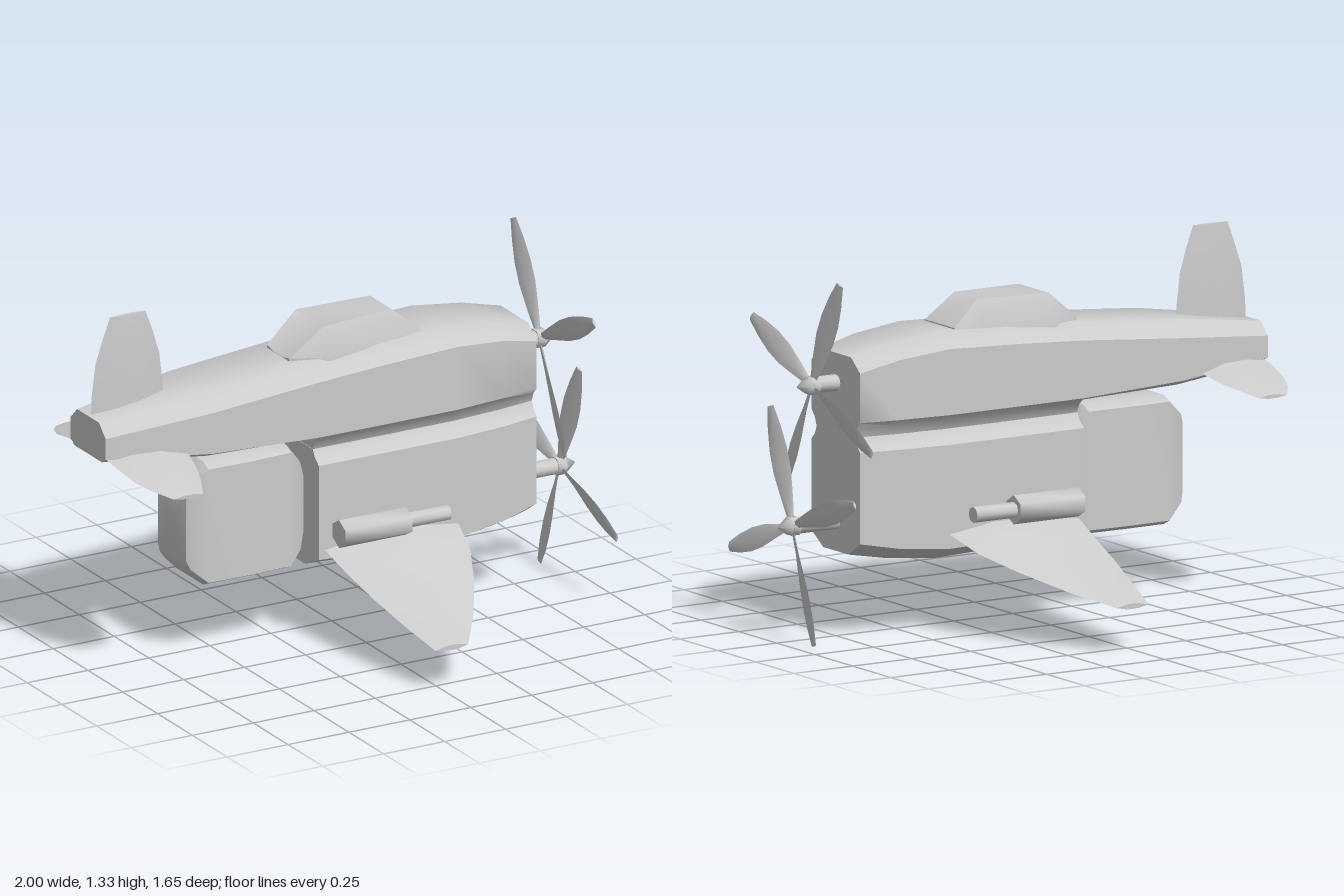
import * as THREE from 'three';
import { toCreasedNormals } from 'three/addons/utils/BufferGeometryUtils.js';

const material = new THREE.MeshStandardMaterial({ color: 0xcccccc });
const V = (x, y, z) => new THREE.Vector3(x, y, z);

function add(parent, name, geometry) {
  const mesh = new THREE.Mesh(geometry, material);
  mesh.name = name;
  parent.add(mesh);
  return mesh;
}

// Skin a list of closed rings and cap both ends; triangles always face outward.
function loft(rings, crease = 0.72) {
  const n = rings[0].length, tris = [];
  for (let i = 0; i < rings.length - 1; i++) {
    for (let j = 0; j < n; j++) {
      const k = (j + 1) % n, a = rings[i], b = rings[i + 1];
      tris.push([a[j], a[k], b[k]], [a[j], b[k], b[j]]);
    }
  }
  const cap = (ring, flip) => {
    const c = ring.reduce((s, p) => s.add(p), V(0, 0, 0)).divideScalar(n);
    ring.forEach((p, j) => {
      const q = ring[(j + 1) % n];
      tris.push(flip ? [c, q, p] : [c, p, q]);
    });
  };
  cap(rings[0], true);
  cap(rings[rings.length - 1], false);
  const centre = rings.flat().reduce((s, p) => s.add(p), V(0, 0, 0)).divideScalar(n * rings.length);
  let volume = 0;
  for (const [a, b, c] of tris) {
    volume += a.clone().sub(centre).dot(b.clone().sub(centre).cross(c.clone().sub(centre)));
  }
  if (volume < 0) tris.forEach((t) => t.reverse());
  const geo = new THREE.BufferGeometry().setFromPoints(tris.flat());
  geo.computeVertexNormals();
  return toCreasedNormals(geo, crease);
}

// Ring across the body at x from its left half, given as [y, z] from top to bottom.
function section(x, half) {
  const left = half.map(([y, z]) => V(x, y, z));
  const right = half.map(([y, z]) => V(x, y, -z)).reverse();
  return [...left, ...right];
}

// Lens-shaped lifting surface; stations are [span, back x, front x, height, thickness].
function foil(stations, place) {
  const profile = [[0, 0], [0.3, 0.42], [0.65, 0.5], [1, 0], [0.65, -0.5], [0.3, -0.42]];
  return loft(stations.map(([s, x0, x1, h, t]) =>
    profile.map(([u, v]) => place(s, x0 + (x1 - x0) * u, h + v * t))));
}

// Round or tapered bar along x
function rod(r0, r1, x0, x1, sides) {
  const geo = new THREE.CylinderGeometry(r1, r0, x1 - x0, sides);
  geo.rotateZ(-Math.PI / 2).translate((x0 + x1) / 2, 0, 0);
  return toCreasedNormals(geo, 1.1);
}

// Four-bladed propeller on a shaft starting at the nose
function propeller(name, y, hubX, turn) {
  const group = new THREE.Group();
  group.name = name;
  group.position.y = y;
  add(group, 'shaft', rod(0.03, 0.03, 0.72, hubX - 0.02, 10));
  add(group, 'hub', rod(0.036, 0.036, hubX - 0.02, hubX + 0.015, 6));
  add(group, 'spinner', rod(0.036, 0.004, hubX + 0.015, hubX + 0.06, 6));

  // Stations: radius, half chord, pitch
  const stations = [[0.02, 0.012, 0.5], [0.1, 0.026, 0.4], [0.2, 0.042, 0.3],
    [0.28, 0.044, 0.24], [0.36, 0.035, 0.18], [0.437, 0.018, 0.12]];
  const blade = loft(stations.map(([r, c, p]) =>
    [[1, 0], [0, 1], [-1, 0], [0, -1]].map(([u, v]) =>
      V(u * c * Math.sin(p) + v * 0.006, r, u * c * Math.cos(p)))));
  for (let i = 0; i < 4; i++) {
    const mesh = add(group, 'blade', blade);
    mesh.position.x = hubX;
    mesh.rotation.x = turn + i * Math.PI / 2;
  }
  return group;
}

export function createModel() {
  const model = new THREE.Group();
  model.name = 'airplane';

  // Upper fuselage: x, half width, roof, shoulder, side bottom, belly
  const upper = [
    [-1, 0.127, 0.972, 0.925, 0.845, 0.828], [-0.6, 0.193, 1.028, 0.97, 0.815, 0.795],
    [-0.17, 0.206, 1.063, 1.01, 0.8, 0.785], [-0.168, 0.206, 1.063, 1.01, 0.8, 0.742],
    [0.1, 0.208, 1.077, 1.027, 0.8, 0.742], [0.4, 0.208, 1.086, 1.04, 0.8, 0.742],
    [0.6, 0.188, 1.064, 1.018, 0.8, 0.742], [0.75, 0.16, 1.03, 0.98, 0.8, 0.742],
  ];
  add(model, 'upperFuselage', loft(upper.map(([x, w, top, shoulder, side, belly]) =>
    section(x, [[top, w * 0.62], [shoulder, w], [side, w],
      [side + (belly - side) * 0.45, w * 0.86], [belly, w * 0.79]]))));

  // Lower fuselage with the groove below the upper one: x, half width, side bottom, keel
  const lower = [
    [-0.17, 0.206, 0.333, 0.287], [0.1, 0.208, 0.32, 0.275], [0.4, 0.208, 0.314, 0.264],
    [0.6, 0.188, 0.332, 0.284], [0.75, 0.16, 0.36, 0.31],
  ];
  add(model, 'lowerFuselage', loft(lower.map(([x, w, side, keel]) =>
    section(x, [[0.742, w * 0.79], [0.715, w * 0.86], [0.692, w], [side, w], [keel, w * 0.52]]))));

  // Rounded rear pod: x, half width, half height
  const pod = [[-0.655, 0.1, 0.14], [-0.643, 0.11, 0.175], [-0.58, 0.132, 0.235],
    [-0.4, 0.136, 0.235], [-0.24, 0.13, 0.235], [-0.195, 0.118, 0.18], [-0.172, 0.1, 0.11]];
  add(model, 'rearPod', loft(pod.map(([x, w, h]) =>
    section(x, [[0.515 + h, w * 0.7], [0.515 + h * 0.92, w],
      [0.515 - h * 0.92, w], [0.515 - h, w * 0.7]]))));

  // Canopy: x, base height, base half width, roof height, roof half width
  const canopy = [[-0.22, 1.03, 0.08, 1.06, 0.07], [-0.09, 1.03, 0.145, 1.174, 0.1],
    [0.2, 1.03, 0.127, 1.18, 0.075], [0.31, 1.04, 0.1, 1.088, 0.098]];
  add(model, 'canopy', loft(canopy.map(([x, y0, w0, y1, w1]) =>
    section(x, [[y1, w1], [y0 + 0.04, w0], [y0, w0]]))));

  // Tail fin
  const fin = [[0.93, -0.99, -0.685, 0, 0.05], [1.04, -0.985, -0.694, 0, 0.045],
    [1.16, -0.97, -0.708, 0, 0.038], [1.25, -0.94, -0.735, 0, 0.03], [1.33, -0.91, -0.765, 0, 0.016]];
  add(model, 'tailFin', foil(fin, (s, x, h) => V(x, s, h)));

  // Wings, tailplanes and guns on both flanks, the nose pointing along +x
  const wing = [[0.15, -0.15, 0.41, 0.38, 0.06], [0.22, -0.145, 0.4, 0.363, 0.055],
    [0.35, -0.13, 0.37, 0.315, 0.045], [0.5, -0.11, 0.3, 0.267, 0.036],
    [0.67, -0.078, 0.2, 0.213, 0.028], [0.825, -0.045, 0.09, 0.168, 0.02]];
  const tailplane = [[0.08, -0.995, -0.685, 0.846, 0.045], [0.18, -0.985, -0.69, 0.828, 0.04],
    [0.28, -0.968, -0.71, 0.804, 0.032], [0.36, -0.935, -0.74, 0.788, 0.024],
    [0.425, -0.89, -0.77, 0.772, 0.014]];
  for (const [side, s] of [['front', 1], ['back', -1]]) {
    add(model, side + 'Wing', foil(wing, (z, x, y) => V(x, y, z * s)));
    add(model, side + 'Tailplane', foil(tailplane, (z, x, y) => V(x, y, z * s)));
    const gun = new THREE.Group();
    gun.name = side + 'Gun';
    gun.position.set(0, 0.438, 0.255 * s);
    add(gun, 'gunBody', rod(0.053, 0.053, -0.115, 0.16, 6)).rotation.x = Math.PI / 6;
    add(gun, 'gunBarrel', rod(0.029, 0.029, 0.15, 0.332, 8));
    model.add(gun);
  }

  model.add(propeller('upperPropeller', 0.922, 0.852, -0.44));
  model.add(propeller('lowerPropeller', 0.42, 0.935, 0.335));
  return model;
}
